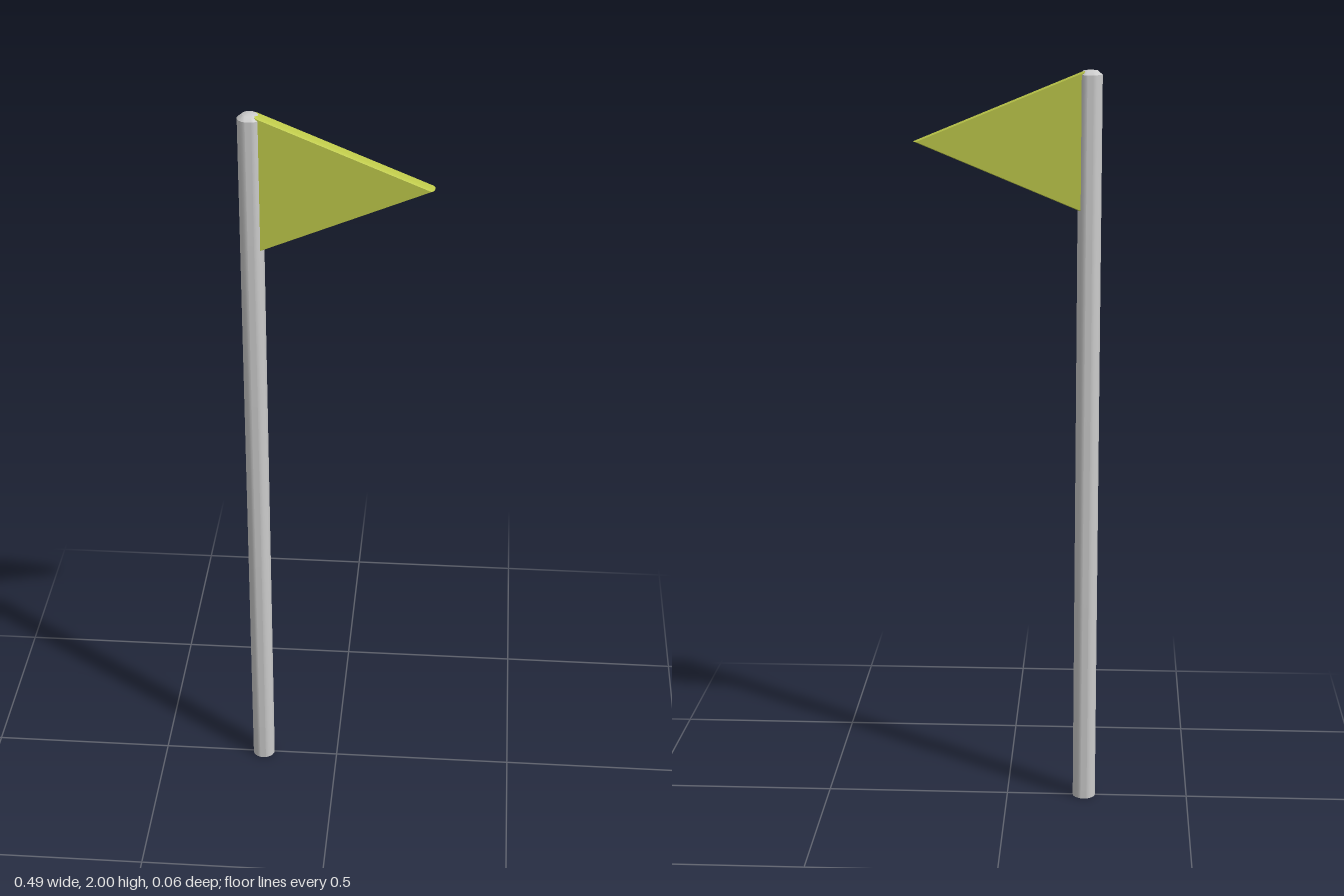
import * as THREE from 'three';
import { toCreasedNormals } from 'three/addons/utils/BufferGeometryUtils.js';

const POLE_X = -0.214;

// Round pole with a shallow domed top
function createPole() {
  const profile = [[0, 0], [0.031, 0], [0.031, 1.987], [0.018, 1.998], [0, 2]]
    .map(([r, y]) => new THREE.Vector2(r, y));
  const geometry = toCreasedNormals(new THREE.LatheGeometry(profile, 24), 0.6);
  const pole = new THREE.Mesh(geometry, new THREE.MeshStandardMaterial({ color: 0xcccccc }));
  pole.name = 'pole';
  pole.position.x = POLE_X;
  return pole;
}

// Triangular pennant with flat faces and slightly bulging edges
function createPennant() {
  const halfDepth = 0.021, steps = 10, centreX = -0.08, centreY = 1.815;
  const shape = new THREE.Shape([
    new THREE.Vector2(-0.197, 1.637),
    new THREE.Vector2(0.236, centreY),
    new THREE.Vector2(-0.197, 1.993),
  ]);
  const geometry = new THREE.ExtrudeGeometry(shape, { depth: 2 * halfDepth, steps, bevelEnabled: false });
  geometry.translate(0, 0, -halfDepth);

  // Swell each slice about the triangle's centre, most in the middle
  const p = geometry.attributes.position;
  for (let i = 0; i < p.count; i++) {
    const t = p.getZ(i) / halfDepth;
    const s = 1 + 0.028 * Math.sqrt(Math.max(0, 1 - t * t));
    p.setXY(i, centreX + (p.getX(i) - centreX) * s, centreY + (p.getY(i) - centreY) * s);
  }
  const pennant = new THREE.Mesh(
    toCreasedNormals(geometry, 0.6),
    new THREE.MeshStandardMaterial({ color: 0xbdc84a }),
  );
  pennant.name = 'pennant';
  return pennant;
}

export function createModel() {
  const flag = new THREE.Group();
  flag.name = 'flag';
  flag.add(createPole(), createPennant());
  return flag;
}
